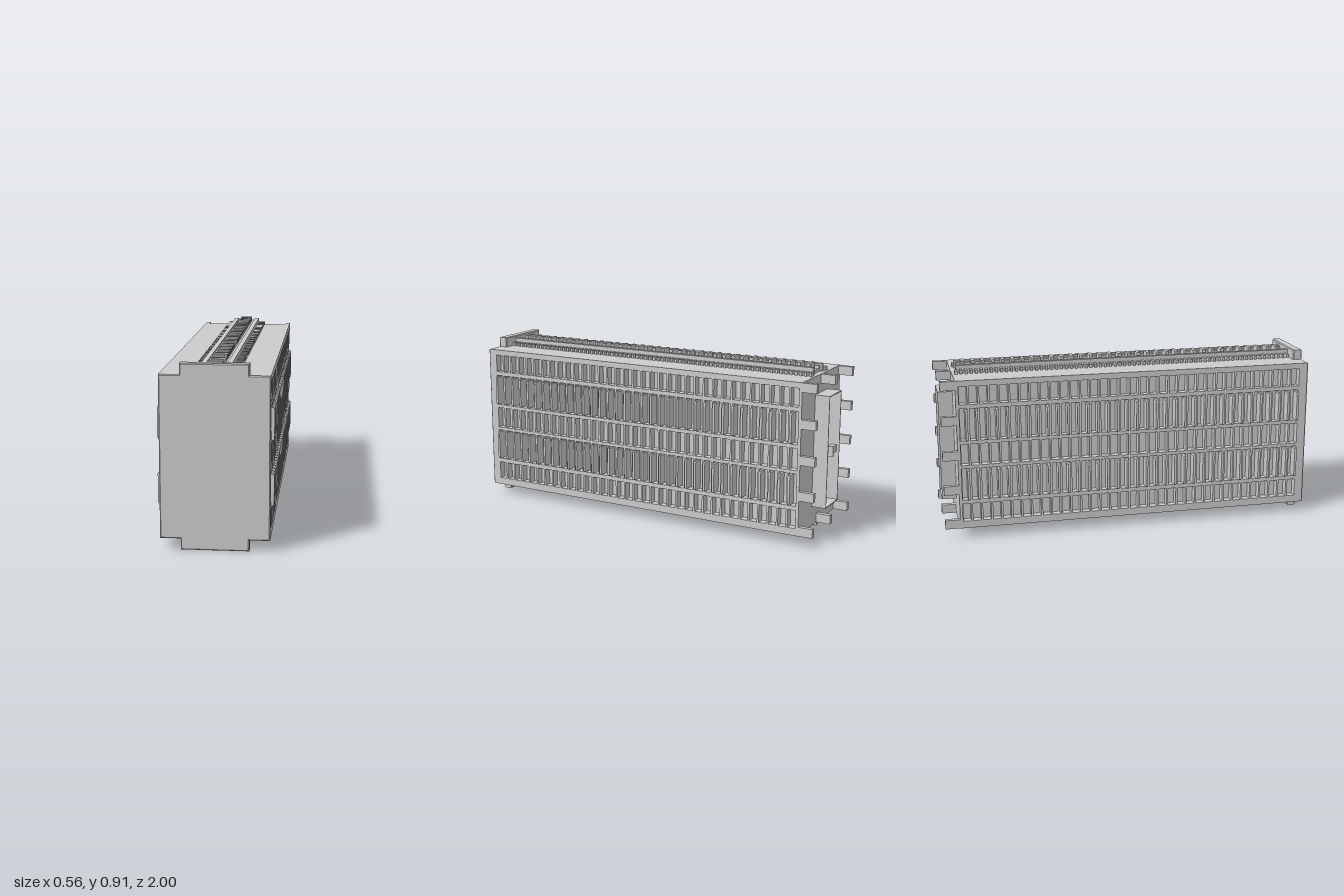
import * as THREE from 'three';
import { mergeGeometries } from 'three/addons/utils/BufferGeometryUtils.js';

const material = new THREE.MeshStandardMaterial({ color: 0xcccccc, flatShading: true });

// Box given by its min and max on each axis
function box(x0, x1, y0, y1, z0, z1) {
  const g = new THREE.BoxGeometry(x1 - x0, y1 - y0, z1 - z0);
  return g.translate((x0 + x1) / 2, (y0 + y1) / 2, (z0 + z1) / 2);
}

function rectPath(PathType, a0, a1, b0, b1) {
  return new PathType([[a0, b0], [a1, b0], [a1, b1], [a0, b1]].map(p => new THREE.Vector2(...p)));
}

const HALF_W = 0.265, Y0 = 0.055, Y1 = 0.853, MID = 0.4535;
const BACK = -0.922, PLATE = 0.95;
const COUNT = 35, PITCH = 0.0533, SLOT = 0.043;
const slotZ = i => 0.949 - i * PITCH; // front edge of slot i
const ROWS = [[0.094, 0.19], [0.212, 0.383], [0.4, 0.515], [0.534, 0.705], [0.727, 0.823]];

export function createModel() {
  const model = new THREE.Group();
  const add = (name, parts, parent = model) => {
    const mesh = new THREE.Mesh(Array.isArray(parts) ? mergeGeometries(parts) : parts, material);
    mesh.name = name;
    parent.add(mesh);
    return mesh;
  };

  // Inner block behind the grilles, with full-width floor, roof and back
  add('core', box(-0.225, 0.225, Y0 + 0.005, Y1 - 0.005, BACK + 0.005, 0.98));
  add('roofAndFloor', [
    box(-HALF_W + 0.01, HALF_W - 0.01, Y1 - 0.02, Y1, BACK, 0.98),
    box(-HALF_W + 0.01, HALF_W - 0.01, Y0, Y0 + 0.02, BACK, 0.98),
    box(-HALF_W + 0.01, HALF_W - 0.01, Y0, Y1, BACK, BACK + 0.02),
  ]);

  // Front end plate: cross-shaped outline with a fine bevel
  const b = 0.005, w = HALF_W - b, t = 0.16;
  const corners = [
    [-t, b], [t, b], [t, Y0 + b], [w, Y0 + b], [w, Y1 - b], [t, Y1 - b],
    [t, 0.902], [-t, 0.902], [-t, Y1 - b], [-w, Y1 - b], [-w, Y0 + b], [-t, Y0 + b],
  ];
  const plate = new THREE.ExtrudeGeometry(new THREE.Shape(corners.map(p => new THREE.Vector2(...p))), {
    depth: 0.04, bevelEnabled: true, bevelSize: b, bevelThickness: b, bevelSegments: 1,
  });
  add('frontPlate', plate.translate(0, 0, PLATE + b));

  // Side grilles: one panel with five rows of slots per side
  const panel = rectPath(THREE.Shape, BACK, PLATE + 0.01, Y0, Y1);
  for (const [lo, hi] of ROWS) {
    for (let i = 0; i < COUNT; i++) {
      panel.holes.push(rectPath(THREE.Path, slotZ(i) - SLOT, slotZ(i), lo, hi));
    }
  }
  const depth = 0.04;
  const grille = new THREE.ExtrudeGeometry(panel, { depth, bevelEnabled: false });
  grille.rotateY(-Math.PI / 2); // panel length to z, thickness to -x
  add('rightGrille', grille.clone().translate(-HALF_W + depth, 0, 0));
  add('leftGrille', grille.clone().translate(HALF_W, 0, 0));

  // Chamfered fins standing out of the two tall slot rows
  const fins = [];
  for (const [lo, hi] of [ROWS[1], ROWS[3]]) {
    const y0 = lo + 0.003, y1 = hi - 0.01;
    const outline = new THREE.Shape([
      [0.22, y0], [0.275, y0], [0.28, y0 + 0.008], [0.28, y1 - 0.008], [0.275, y1], [0.22, y1],
    ].map(p => new THREE.Vector2(...p)));
    const fin = new THREE.ExtrudeGeometry(outline, { depth: 0.012, bevelEnabled: false });
    for (let i = 0; i < COUNT; i++) {
      const left = fin.clone().translate(0, 0, slotZ(i) - 0.013);
      fins.push(left, left.clone().rotateZ(Math.PI).translate(0, 2 * MID, 0));
    }
  }
  add('coolingFins', fins);

  // Rails, rungs and comb teeth along the top, repeated underneath
  const strip = [];
  strip.push(box(-0.035, 0.035, Y1 - 0.01, 0.868, -0.89, PLATE));
  for (const s of [-1, 1]) {
    const band = (a, c, y, z0, z1) => box(Math.min(s * a, s * c), Math.max(s * a, s * c), Y1 - 0.01, y, z0, z1);
    strip.push(band(0.035, 0.05, 0.884, -0.89, PLATE));
    strip.push(band(0.05, 0.075, 0.893, -0.9, PLATE + 0.02));
    for (let i = 0; i < COUNT * 2; i++) {
      const z = 0.945 - i * PITCH / 2;
      strip.push(band(0.075, 0.11, 0.872, z - 0.014, z));
    }
  }
  for (let i = 0; i < COUNT - 1; i++) {
    const z = slotZ(i) - SLOT - 0.005;
    strip.push(box(-0.032, 0.032, 0.86, 0.905, z - 0.009, z + 0.009));
  }
  const top = add('topRails', strip);
  const bottom = add('bottomRails', top.geometry.clone());
  bottom.rotation.z = Math.PI;
  bottom.position.y = 2 * MID;

  // Rear spacer tabs: five per edge, plus one above and below the tray
  const tabs = [];
  for (let i = 0; i < 5; i++) {
    const y = 0.08 + i * 0.187;
    for (const s of [-1, 1]) {
      const x = s * 0.2525;
      tabs.push(box(x - 0.0125, x + 0.0125, y - 0.024, y + 0.024, -1, BACK + 0.01));
    }
  }
  for (const y of [0.08, 0.828]) tabs.push(box(-0.014, 0.014, y - 0.024, y + 0.024, -1, BACK + 0.01));
  add('rearTabs', tabs);

  // Open rear tray with thin walls
  const tray = rectPath(THREE.Shape, -0.085, 0.085, 0.163, 0.757);
  tray.holes.push(rectPath(THREE.Path, -0.08, 0.08, 0.168, 0.752));
  const trayWall = new THREE.ExtrudeGeometry(tray, { depth: 0.08, bevelEnabled: false });
  add('rearTray', trayWall.translate(0, 0, -1));

  // Clips inside the tray
  add('trayClips', [
    box(-0.085, -0.035, 0.43, 0.465, -0.985, -0.955),
    box(-0.04, -0.032, 0.41, 0.465, -0.985, BACK),
    box(0.035, 0.083, 0.445, 0.465, -0.985, -0.94),
    box(0.065, 0.083, 0.29, 0.33, -0.97, BACK),
    box(0.065, 0.083, 0.58, 0.62, -0.97, BACK),
  ]);

  return model;
}
